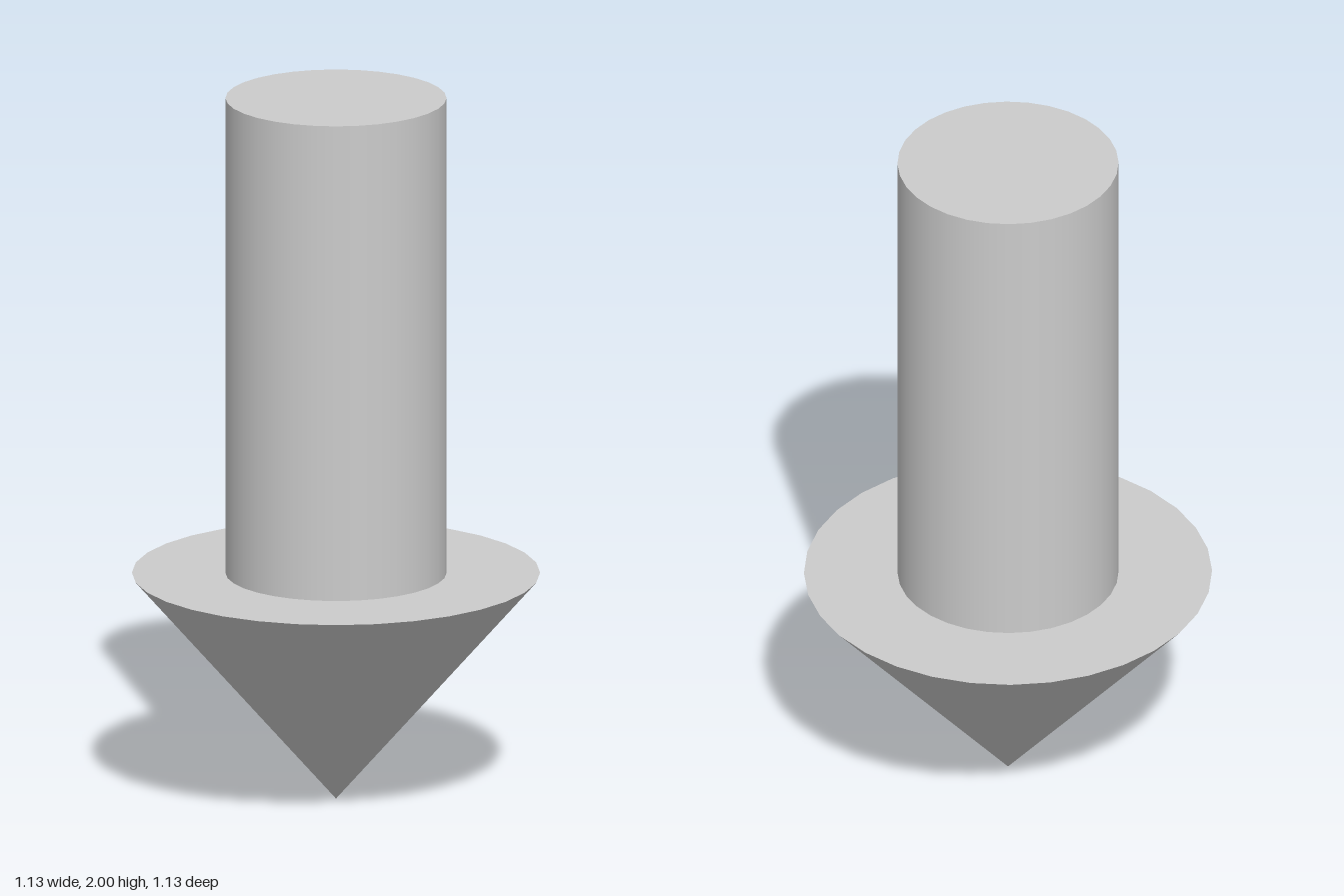
import * as THREE from 'three';

const SIDES = 32;
const HEAD_RADIUS = 0.563;
const HEAD_HEIGHT = 0.645;
const SHAFT_RADIUS = 0.305;
const TOP = 2;

export function createModel() {
  const model = new THREE.Group();
  model.name = 'downArrow';
  const material = new THREE.MeshStandardMaterial({ color: 0xcccccc });

  const add = (name, geometry, y) => {
    const mesh = new THREE.Mesh(geometry, material);
    mesh.name = name;
    mesh.position.y = y;
    model.add(mesh);
  };

  // Pointed head: a cone standing on its tip, closed by a flat shoulder
  add('arrowHead', new THREE.CylinderGeometry(HEAD_RADIUS, 0, HEAD_HEIGHT, SIDES), HEAD_HEIGHT / 2);

  // Straight round shaft with a flat top, open where it meets the shoulder
  const length = TOP - HEAD_HEIGHT;
  add('shaft', new THREE.CylinderGeometry(SHAFT_RADIUS, SHAFT_RADIUS, length, SIDES, 1, true), HEAD_HEIGHT + length / 2);
  add('shaftTop', new THREE.CircleGeometry(SHAFT_RADIUS, SIDES).rotateX(-Math.PI / 2), TOP);

  return model;
}
